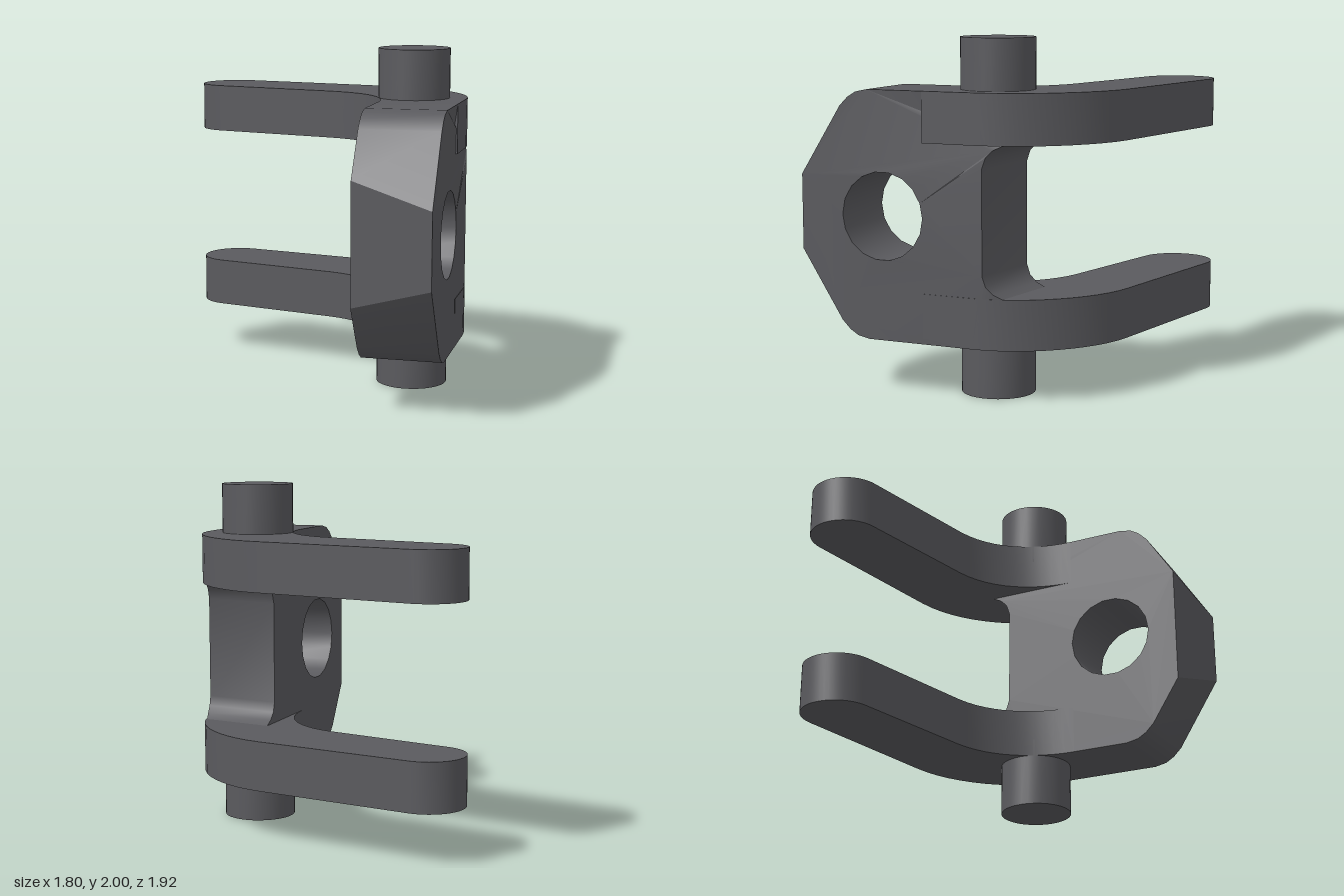
import * as THREE from 'three';
import { toCreasedNormals } from 'three/addons/utils/BufferGeometryUtils.js';

const MID = 1.005; // mirror height of the part

export function createModel() {
  const group = new THREE.Group();
  group.name = 'forkBracket';
  const steel = new THREE.MeshStandardMaterial({ color: 0x5a5a5e });
  steel.name = 'darkSteel';

  const add = (name, geometry, crease = 0.6) => {
    const mesh = new THREE.Mesh(toCreasedNormals(geometry, crease), steel);
    mesh.name = name;
    group.add(mesh);
    return mesh;
  };

  // Lug plate: side profile (z, y), mirrored about MID, with a round eye
  const lower = [
    [-0.23, 0.71], [-0.25, 0.65], [-0.29, 0.61], [-0.36, 0.575], [-0.1, 0.3],
    [0.54, 0.3], [0.61, 0.315], [0.66, 0.345], [0.71, 0.395], [0.96, 0.79],
  ];
  const upper = lower.map(([z, y]) => [z, 2 * MID - y]).reverse();
  const profile = new THREE.Shape([...lower, ...upper].map(([z, y]) => new THREE.Vector2(z, y)));
  const eye = new THREE.Path();
  eye.absarc(0.45, MID, 0.25, 0, Math.PI * 2, true);
  profile.holes.push(eye);
  const plate = new THREE.ExtrudeGeometry(profile, { depth: 0.46, bevelEnabled: false, curveSegments: 9 });
  plate.rotateY(-Math.PI / 2).translate(0.9, 0, 0);

  // Slant the front and back ends, and follow the outer bend
  const p = plate.attributes.position;
  for (let i = 0; i < p.count; i++) {
    let x = p.getX(i), y = p.getY(i), z = p.getZ(i);
    if (z > 0.9 && x < 0.6) {
      z = 0.875;
      y = MID + Math.sign(y - MID) * 0.35;
    }
    if (z < -0.2) z += 0.07 * (x - 0.44) / 0.46;
    if (z < -0.1) x = Math.min(x, 0.9 - 1.1 * (z + 0.1) ** 2);
    p.setXYZ(i, x, y, z);
  }
  add('lugPlate', plate, 0.5);

  // Curved arms: plan outline (x, -z) raised to the arm thickness
  const plan = new THREE.Shape();
  plan.moveTo(0.44, -0.2);
  plan.lineTo(0.9, -0.2);
  plan.lineTo(0.9, 0.1);
  plan.bezierCurveTo(0.9, 0.42, 0.62, 0.72, 0.3, 0.78);
  plan.absarc(-0.69, 0.747, 0.215, 1.39, 4.49, false);
  plan.lineTo(0.02, 0.36);
  plan.bezierCurveTo(0.3, 0.29, 0.44, 0.05, 0.44, -0.2);
  for (const [name, y] of [['lowerArm', 0.3], ['upperArm', 1.425]]) {
    const arm = new THREE.ExtrudeGeometry(plan, { depth: 0.285, bevelEnabled: false, curveSegments: 12 });
    add(name, arm.rotateX(-Math.PI / 2).translate(0, y, 0));
  }

  // Pivot pins above and below the arms
  for (const [name, y0, y1] of [['lowerPin', 0, 0.4], ['upperPin', 1.6, 2]]) {
    const pin = new THREE.CylinderGeometry(0.21, 0.21, y1 - y0, 32);
    add(name, pin.translate(0.587, (y0 + y1) / 2, -0.12));
  }
  return group;
}
